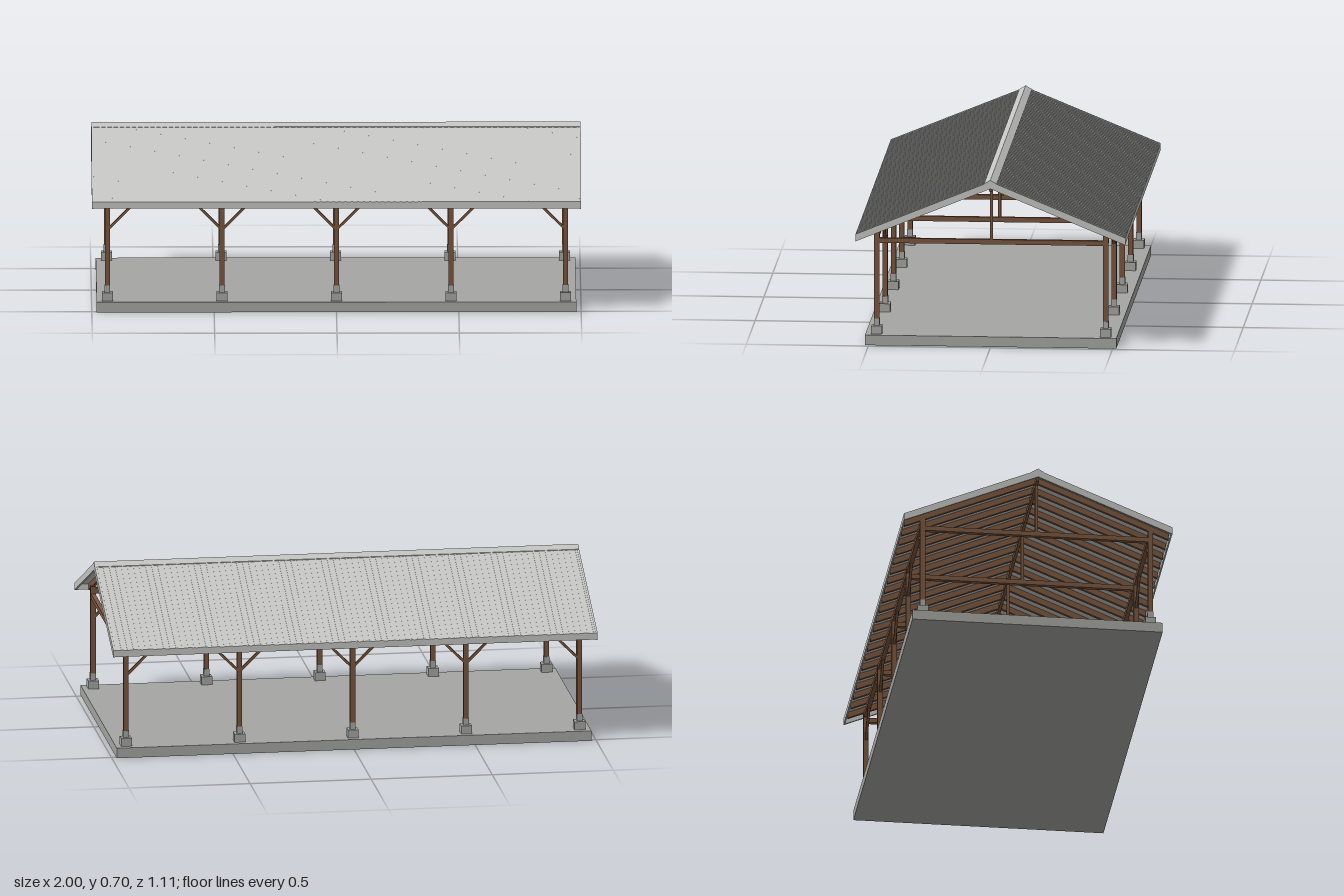
import * as THREE from 'three';
import { mergeGeometries } from 'three/addons/utils/BufferGeometryUtils.js';

const material = (name, color) => new THREE.MeshStandardMaterial({ name, color });

const SLOPE = 0.41;    // roof rise per unit of depth
const POST_Z = 0.469;
const EAVE_Z = 0.553;
const FRAME_X = [-0.936, -0.468, 0, 0.468, 0.936];

export function createModel() {
  const model = new THREE.Group();
  model.name = 'openPavilion';
  const wood = material('brown timber', 0x7a563f);
  const concrete = material('grey concrete', 0xa6a6a3);
  const steel = material('pale steel', 0xaaa8a5);
  const roofMetal = material('light grey roofing', 0xc6c6c4);

  const add = (name, geometries, mat) => {
    const mesh = new THREE.Mesh(mergeGeometries(geometries), mat);
    mesh.name = name;
    model.add(mesh);
  };
  const box = (w, h, d, x, y, z) => new THREE.BoxGeometry(w, h, d).translate(x, y, z);

  // Inverted V spanning both roof slopes, centred on x
  const chevron = (x, width, half, peak, depth, slope = SLOPE) => {
    const drop = half * slope;
    const shape = new THREE.Shape([
      [-half, peak - drop - depth], [0, peak - depth], [half, peak - drop - depth],
      [half, peak - drop], [0, peak], [-half, peak - drop],
    ].map(([z, y]) => new THREE.Vector2(z, y)));
    return new THREE.ExtrudeGeometry(shape, { depth: width, bevelEnabled: false })
      .translate(0, 0, -width / 2).rotateY(Math.PI / 2).translate(x, 0, 0);
  };

  // Slab
  add('floorSlab', [box(1.96, 0.042, 1.03, 0, 0.021, 0)], concrete);

  // Posts with footings, shoes and knee braces
  const posts = [], footings = [], shoes = [], braces = [];
  for (const x of FRAME_X) {
    for (const z of [-POST_Z, POST_Z]) {
      footings.push(box(0.044, 0.034, 0.044, x, 0.059, z));
      shoes.push(box(0.023, 0.03, 0.023, x, 0.09, z));
      posts.push(box(0.021, 0.37, 0.021, x, 0.287, z));
      for (const side of [-1, 1]) {
        if (Math.abs(x + side * 0.1) > 1) continue;
        braces.push(new THREE.BoxGeometry(0.01, 0.146, 0.011)
          .rotateZ(-side * Math.PI / 4)
          .translate(x + side * 0.055, 0.39, z));
      }
    }
  }
  add('footings', footings, concrete);
  add('postShoes', shoes, steel);
  add('posts', posts, wood);
  add('kneeBraces', braces, wood);

  // Trusses and long beams
  add('tieBeams', FRAME_X.map(x => box(0.018, 0.02, 0.93, x, 0.43, 0)), wood);
  add('kingPosts', FRAME_X.map(x => box(0.012, 0.226, 0.012, x, 0.55, 0)), wood);
  add('wallPlates', [-1, 1].map(s => box(1.89, 0.022, 0.018, 0, 0.453, s * POST_Z)), wood);
  add('ridgeBeam', [box(1.97, 0.024, 0.012, 0, 0.661, 0)], wood);

  // Rafters, five to each bay
  const rafters = [];
  for (let i = 0; i <= 20; i++) {
    rafters.push(chevron(-0.936 + i * 0.0936, 0.013, 0.544, 0.686, 0.027));
  }
  add('rafters', rafters, wood);

  // Roof sheet with fine ribs running down both slopes
  add('roofSheet', [chevron(0, 1.99, EAVE_Z - 0.003, 0.69, 0.005)], roofMetal);
  const ribs = [];
  for (let i = 0; i < 80; i++) {
    ribs.push(chevron(-0.9875 + i * 0.025, 0.008, EAVE_Z - 0.001, 0.6915, 0.0025));
  }
  add('roofRibs', ribs, roofMetal);

  // Edge boards and ridge cap
  add('bargeBoards', [-1, 1].map(s => chevron(s * 0.996, 0.008, EAVE_Z, 0.692, 0.03)), roofMetal);
  add('eaveBoards', [-1, 1].map(s => box(1.99, 0.027, 0.006, 0, 0.4505, s * (EAVE_Z - 0.003))), roofMetal);
  add('ridgeCap', [chevron(0, 2, 0.026, 0.698, 0.008, 0.6)], roofMetal);

  return model;
}
